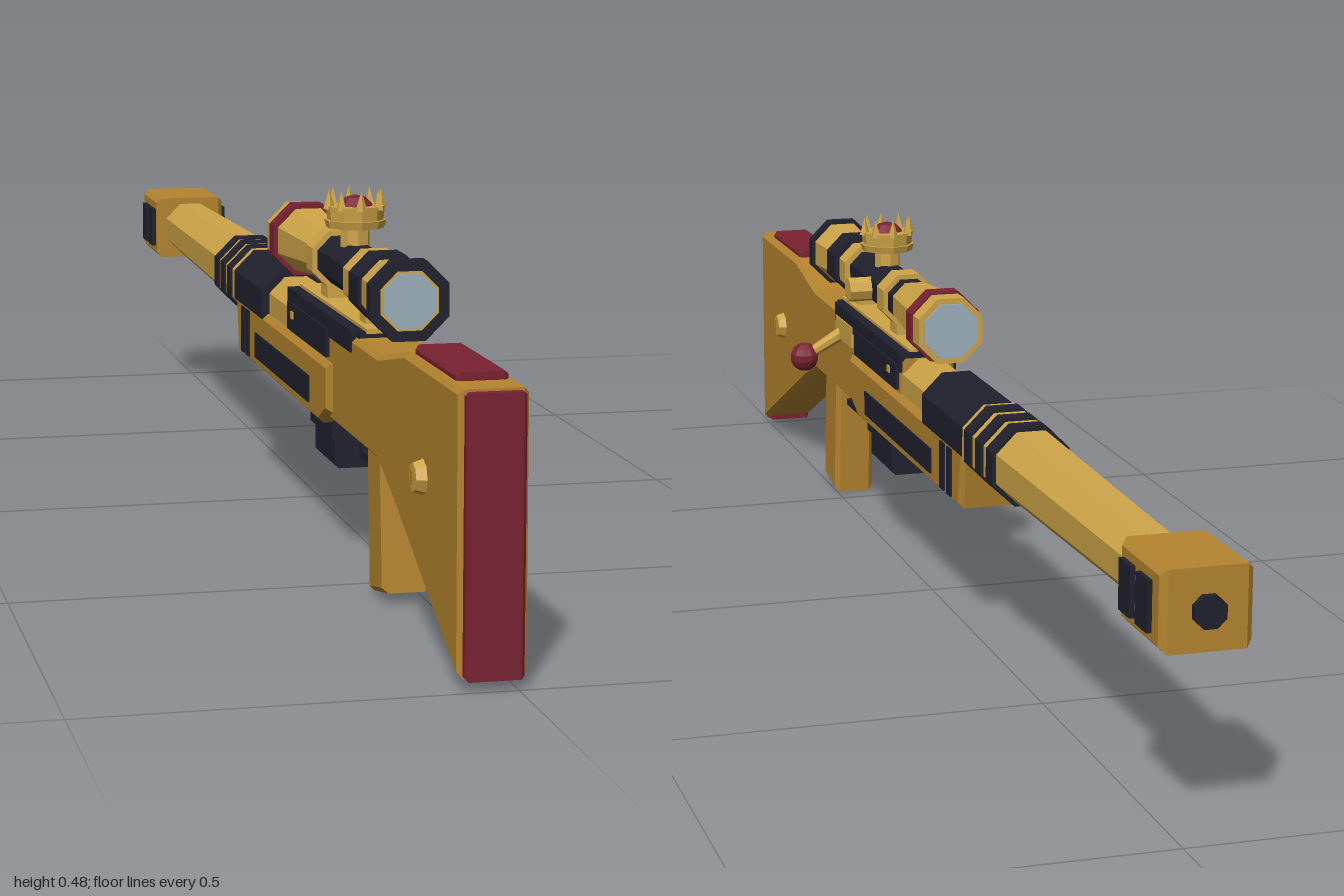
import * as THREE from 'three';

const mat = (name, color, extra = {}) =>
  Object.assign(new THREE.MeshStandardMaterial({ color, flatShading: true, ...extra }), { name });

export function createModel() {
  const amber = mat('amber stock', 0xb5852f);
  const gold = mat('bright gold', 0xcfa548);
  const dark = mat('dark navy', 0x20212e);
  const red = mat('deep red', 0x7a2232);
  const glass = mat('lens glass', 0x9db1bd);

  const model = new THREE.Group();
  model.name = 'rifle';
  const gun = new THREE.Group();
  gun.name = 'rifleBody';
  gun.position.x = -0.027;
  model.add(gun);

  const add = (name, geo, m, x = 0, y = 0, z = 0, parent = gun) => {
    const mesh = new THREE.Mesh(geo, m);
    mesh.name = name;
    mesh.position.set(x, y, z);
    parent.add(mesh);
    return mesh;
  };
  // box given by half width and y / z ranges
  const box = (name, m, hw, y0, y1, z0, z1, x = 0) =>
    add(name, new THREE.BoxGeometry(hw * 2, y1 - y0, Math.abs(z1 - z0)), m, x, (y0 + y1) / 2, (z0 + z1) / 2);
  // side outline in (z, y), extruded across x with bevelled edges
  const slab = (name, m, hw, pts, bevel = 0.007) => {
    const shape = new THREE.Shape(pts.map(([z, y]) => new THREE.Vector2(z, y)));
    const geo = new THREE.ExtrudeGeometry(shape, {
      depth: 2 * (hw - bevel), bevelEnabled: true, bevelSegments: 1,
      bevelSize: bevel, bevelThickness: bevel, bevelOffset: -bevel,
    });
    geo.translate(0, 0, -(hw - bevel)).rotateY(-Math.PI / 2);
    return add(name, geo, m);
  };
  const rect = (z0, z1, y0, y1) => [[z0, y0], [z1, y0], [z1, y1], [z0, y1]];
  // eight-sided section along z with flats on top; radii measured to the flats
  const oct = (name, m, y, z0, r0, z1, r1 = r0) => {
    const k = 1 / Math.cos(Math.PI / 8);
    const geo = new THREE.CylinderGeometry(r0 * k, r1 * k, z0 - z1, 8);
    geo.rotateY(Math.PI / 8).rotateX(Math.PI / 2);
    return add(name, geo, m, 0, y, (z0 + z1) / 2);
  };

  // Stock and receiver
  slab('stock', amber, 0.04, [[0.988, 0.012], [0.988, 0.335], [0.745, 0.335], [0.62, 0.31],
    [0.11, 0.31], [0.11, 0.2], [0.36, 0.18], [0.615, 0.18], [0.69, 0.15]]);
  slab('buttPlate', red, 0.034, rect(0.97, 1, 0.012, 0.332), 0.004);
  slab('cheekRest', red, 0.03, rect(0.755, 0.94, 0.325, 0.345), 0.005);
  slab('grip', amber, 0.03, [[0.52, 0.2], [0.595, 0.2], [0.61, 0.014], [0.535, 0]]);
  slab('foreStock', amber, 0.048, [[0.38, 0.195], [0.33, 0.172], [-0.2, 0.175], [-0.215, 0.258], [0.38, 0.258]]);

  // Barrel, handguard and barrel bands
  const axis = 0.272;
  oct('barrelBreech', gold, axis, 0.12, 0.038, -0.03);
  oct('barrel', gold, axis, -0.35, 0.047, -0.86, 0.04);
  oct('handguard', dark, axis, -0.025, 0.049, -0.222);
  oct('bandCore', dark, axis, -0.222, 0.047, -0.362);
  for (const z of [-0.25, -0.3, -0.348]) oct('darkBand', dark, axis, z + 0.014, 0.052, z - 0.014);
  for (const z of [-0.228, -0.275, -0.324]) oct('goldBand', gold, axis, z + 0.006, 0.05, z - 0.006);

  // Muzzle brake
  slab('muzzleBrake', amber, 0.055, rect(-0.99, -0.855, 0.224, 0.322), 0.008);
  oct('muzzleBore', dark, axis, -0.98, 0.019, -1);

  // Receiver cover
  box('topRail', dark, 0.034, 0.3, 0.318, 0.5, 0.115);
  box('railCap', gold, 0.026, 0.316, 0.322, 0.505, 0.12);

  // Details found on both sides
  for (const s of [-1, 1]) {
    box('muzzlePort', dark, 0.004, 0.242, 0.303, -0.87, -0.907, s * 0.0575);
    box('muzzlePort', dark, 0.004, 0.242, 0.303, -0.925, -0.962, s * 0.0575);
    box('receiverPanel', dark, 0.004, 0.263, 0.3, 0.36, 0.125, s * 0.041);
    box('receiverPanelUpper', dark, 0.004, 0.29, 0.318, 0.485, 0.115, s * 0.038);
    box('panelPin', gold, 0.003, 0.281, 0.291, 0.167, 0.155, s * 0.044);
    box('sideSlot', dark, 0.002, 0.19, 0.225, 0.28, -0.07, s * 0.0485);
    for (const z of [-0.125, -0.157]) box('vent', dark, 0.002, 0.183, 0.249, z + 0.01, z - 0.01, s * 0.0485);
    const stud = add('stockStud', new THREE.CylinderGeometry(0.017, 0.022, 0.014, 8), gold, s * 0.045, 0.207, 0.835);
    stud.rotation.z = -s * Math.PI / 2;
    box('studSlot', amber, 0.002, 0.198, 0.216, 0.839, 0.831, s * 0.052);
  }

  // Magazine, trigger and guard
  slab('magazine', dark, 0.026, rect(0.212, 0.335, 0.112, 0.155), 0.004);
  slab('magazineCollar', dark, 0.031, rect(0.205, 0.34, 0.148, 0.185), 0.004);
  box('guardBottom', dark, 0.014, 0.145, 0.154, 0.53, 0.418);
  box('guardFront', dark, 0.014, 0.15, 0.19, 0.427, 0.418);
  const trigger = box('trigger', dark, 0.006, 0.155, 0.19, 0.48, 0.47);
  trigger.rotation.x = 0.2;

  // Bolt handle
  const from = new THREE.Vector3(0.03, 0.28, 0.455);
  const to = new THREE.Vector3(0.093, 0.237, 0.475);
  const rod = add('boltHandle', new THREE.CylinderGeometry(0.008, 0.011, from.distanceTo(to), 8), gold);
  rod.position.copy(from).lerp(to, 0.5);
  rod.quaternion.setFromUnitVectors(new THREE.Vector3(0, 1, 0), to.clone().sub(from).normalize());
  add('boltKnob', new THREE.SphereGeometry(0.022, 10, 7), red, to.x, to.y, to.z);
  box('boltBase', gold, 0.006, 0.268, 0.3, 0.475, 0.38, 0.038);

  // Scope: name, material, back z, back radius, front z, front radius
  const sy = 0.373;
  [
    ['eyepieceRim', dark, 0.615, 0.049, 0.598, 0.049],
    ['eyepiece', gold, 0.6, 0.044, 0.528, 0.038],
    ['focusRing', dark, 0.528, 0.043, 0.48, 0.043],
    ['scopeNeck', gold, 0.482, 0.035, 0.46, 0.035],
    ['scopeTube', dark, 0.47, 0.031, 0.18, 0.031],
    ['rearMountRing', gold, 0.465, 0.039, 0.432, 0.039],
    ['frontMountRing', gold, 0.252, 0.038, 0.215, 0.038],
    ['objectiveBell', gold, 0.19, 0.031, 0.052, 0.043],
    ['objectiveBand', red, 0.056, 0.049, 0.03, 0.049],
    ['objectiveRim', gold, 0.032, 0.046, 0, 0.046],
    ['eyeTrim', gold, 0.616, 0.036, 0.61, 0.036],
    ['eyeLens', glass, 0.618, 0.033, 0.612, 0.033],
    ['frontLens', glass, 0.005, 0.038, -0.003, 0.038],
  ].forEach(([n, m, ...d]) => oct(n, m, sy, ...d));
  box('rearMountFoot', gold, 0.018, 0.318, 0.345, 0.465, 0.432);
  box('frontMountFoot', gold, 0.018, 0.318, 0.345, 0.252, 0.215);
  const knob = add('sideTurret', new THREE.CylinderGeometry(0.018, 0.018, 0.036, 8), gold, 0.046, 0.371, 0.32);
  knob.rotation.z = Math.PI / 2;

  // Crown turret
  const crown = new THREE.Group();
  crown.name = 'crownTurret';
  crown.position.set(0, 0, 0.333);
  gun.add(crown);
  add('crownPost', new THREE.CylinderGeometry(0.019, 0.019, 0.03, 8), gold, 0, 0.416, 0, crown);
  add('crownBase', new THREE.CylinderGeometry(0.04, 0.037, 0.01, 10), gold, 0, 0.431, 0, crown);
  add('crownBand', new THREE.CylinderGeometry(0.038, 0.036, 0.018, 10), gold, 0, 0.445, 0, crown);
  add('crownCushion', new THREE.SphereGeometry(0.026, 10, 6), red, 0, 0.442, 0, crown);
  for (let i = 0; i < 8; i++) {
    const a = (i / 8) * Math.PI * 2;
    add('crownSpike', new THREE.ConeGeometry(0.008, 0.026, 4), gold,
      Math.sin(a) * 0.034, 0.463, Math.cos(a) * 0.034, crown).rotation.y = a;
  }
  return model;
}
